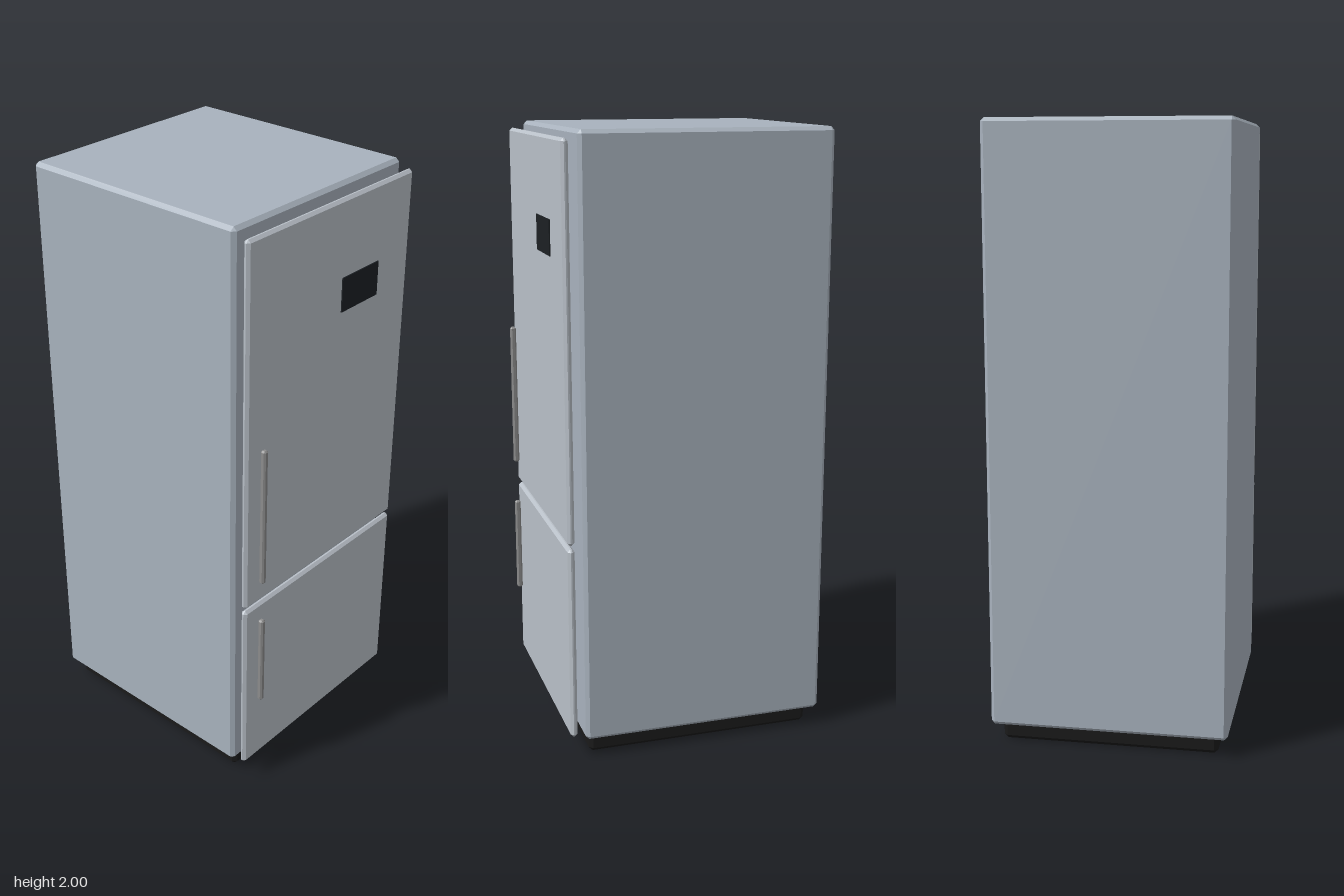
import * as THREE from 'three';
import { ConvexGeometry } from 'three/addons/geometries/ConvexGeometry.js';

const material = (color) => new THREE.MeshStandardMaterial({ color, flatShading: true });

// Box between two corners with every edge cut at 45 degrees by c.
function chamferBox(name, min, max, c, mat) {
  const center = min.map((v, i) => (v + max[i]) / 2);
  const half = min.map((v, i) => (max[i] - v) / 2);
  const points = [];
  for (const sx of [-1, 1]) for (const sy of [-1, 1]) for (const sz of [-1, 1]) {
    for (let outer = 0; outer < 3; outer++) {
      const [x, y, z] = half.map((h, i) => (i === outer ? h : h - c));
      points.push(new THREE.Vector3(sx * x, sy * y, sz * z));
    }
  }
  const mesh = new THREE.Mesh(new ConvexGeometry(points), mat);
  mesh.position.set(...center);
  mesh.name = name;
  return mesh;
}

export function createModel() {
  const model = new THREE.Group();
  model.name = 'refrigerator';

  const bodyMat = material(0xa8b2bd);
  const doorMat = material(0xb9c0c8);
  const handleMat = material(0x8c8c8c);
  const baseMat = material(0x1a1a1a);
  const displayMat = material(0x1c2024);

  // Cabinet on a recessed dark plinth
  model.add(chamferBox('cabinet', [-0.388, 0.06, -0.445], [0.388, 2, 0.368], 0.012, bodyMat));
  model.add(chamferBox('plinth', [-0.355, 0, -0.41], [0.355, 0.064, 0.35], 0.013, baseMat));

  // Two doors standing off the cabinet, each with a bar handle
  const doors = [
    { name: 'fridge', door: [0.73, 1.976], handle: [0.813, 1.3] },
    { name: 'freezer', door: [0.077, 0.718], handle: [0.337, 0.667] },
  ];
  for (const { name, door, handle } of doors) {
    model.add(chamferBox(name + 'Door',
      [-0.385, door[0], 0.395], [0.385, door[1], 0.418], 0.009, doorMat));
    model.add(chamferBox(name + 'Handle',
      [-0.333, handle[0], 0.425], [-0.314, handle[1], 0.444], 0.005, handleMat));
  }

  // Display panel on the upper door
  const display = new THREE.Mesh(new THREE.BoxGeometry(0.177, 0.112, 0.01), displayMat);
  display.position.set(0.133, 1.671, 0.417);
  display.name = 'displayPanel';
  model.add(display);

  return model;
}
